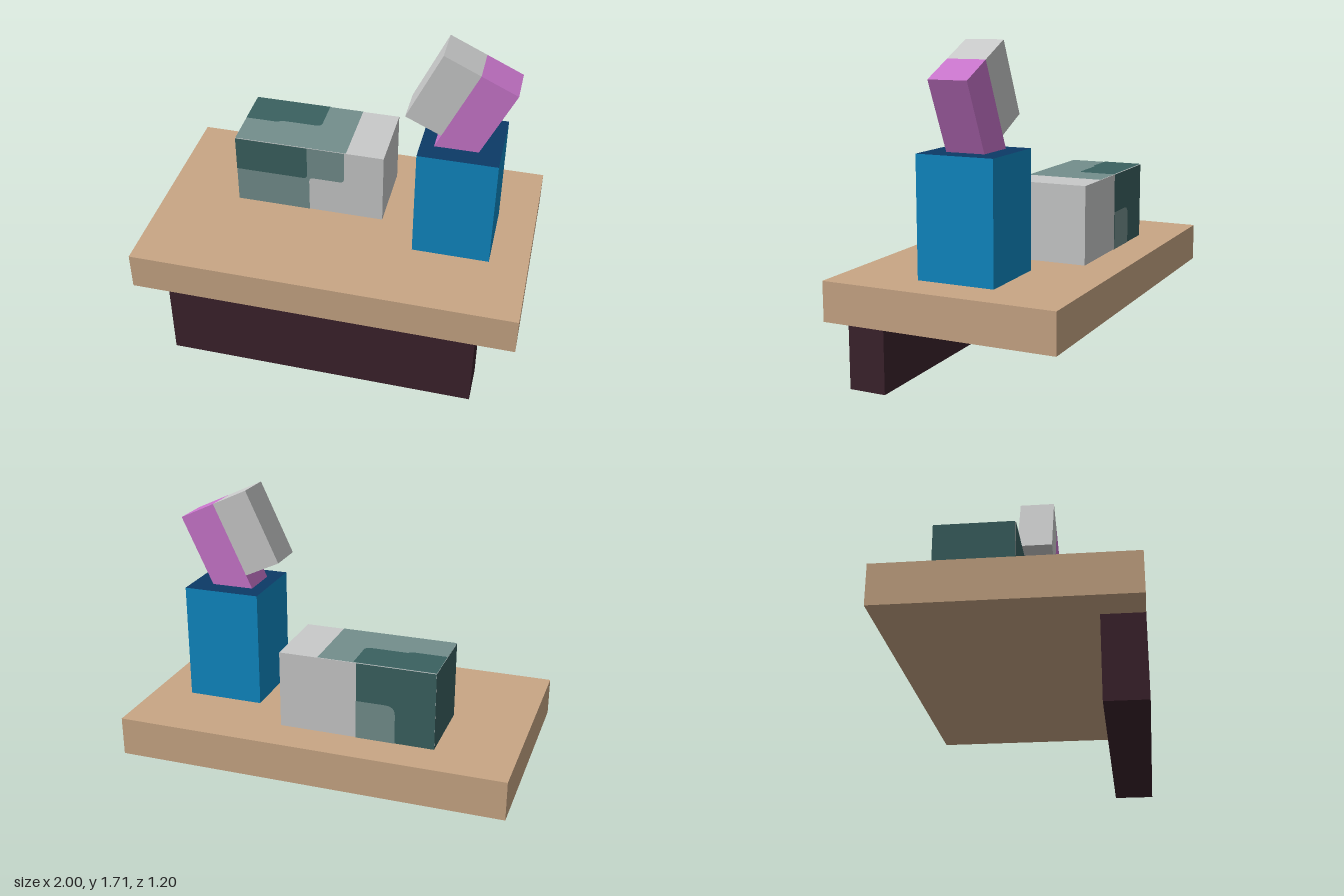
import * as THREE from 'three';

const mat = (name, color) => {
  const m = new THREE.MeshStandardMaterial({ color });
  m.name = name;
  return m;
};

// Flat outline from [x, y, cornerRadius] points; corners with a radius are rounded.
function outline(points) {
  const shape = new THREE.Shape();
  const toward = (a, b, r) => {
    const k = r / Math.hypot(b[0] - a[0], b[1] - a[1]);
    return [a[0] + (b[0] - a[0]) * k, a[1] + (b[1] - a[1]) * k];
  };
  points.forEach((p, i) => {
    const prev = points[(i + points.length - 1) % points.length];
    const next = points[(i + 1) % points.length];
    const r = p[2] || 0;
    if (i === 0) shape.moveTo(p[0], p[1]);
    else if (!r) shape.lineTo(p[0], p[1]);
    else {
      shape.lineTo(...toward(p, prev, r));
      shape.quadraticCurveTo(p[0], p[1], ...toward(p, next, r));
    }
  });
  return shape;
}

export function createModel() {
  const wood = mat('tan wood', 0xc8a685);
  const maroon = mat('dark maroon', 0x3b222c);
  const blue = mat('blue', 0x0f88c2);
  const navy = mat('navy', 0x0c3a66);
  const grey = mat('light grey', 0xc8c9c9);
  const teal = mat('mid teal', 0x738e8c);
  const darkTeal = mat('dark teal', 0x3a6160);
  const pink = mat('orchid pink', 0xc875cb);

  const model = new THREE.Group();
  model.name = 'tableWithBlocks';

  // Box given by its minimum and maximum corners
  const box = (name, min, max, material, parent = model) => {
    const mesh = new THREE.Mesh(
      new THREE.BoxGeometry(max[0] - min[0], max[1] - min[1], max[2] - min[2]), material);
    mesh.name = name;
    mesh.position.set(...min.map((v, i) => (v + max[i]) / 2));
    parent.add(mesh);
  };

  // Table: slab and a single front support
  box('tableTop', [-1, 0.4, -0.6], [1, 0.6, 0.6], wood);
  box('frontSupport', [-0.8, 0, 0.4], [0.8, 0.4, 0.6], maroon);

  // Pedestal with a dark top
  box('pedestal', [0.4, 0.6, -0.2], [0.8, 1.2, 0.2], [blue, blue, navy, blue, blue, blue]);

  // Long block; its end on the -x side is dark
  box('longBlock', [-0.6, 0.6, -0.4], [0.2, 1, 0], [grey, darkTeal, grey, grey, grey, grey]);

  // Painted patches on the block: [x, height] on front and back, [x, z] on top
  const patch = (name, face, layer, material, points) => {
    const flip = { front: [1, 1], back: [-1, 1], top: [1, -1] }[face];
    const geo = new THREE.ShapeGeometry(
      outline(points.map(([u, v, r]) => [u * flip[0], v * flip[1], r])), 6);
    const lift = layer * 0.002;
    if (face === 'front') geo.translate(0, 0, lift);
    if (face === 'back') geo.rotateY(Math.PI).translate(0, 0, -0.4 - lift);
    if (face === 'top') geo.rotateX(-Math.PI / 2).translate(0, 1 + lift, 0);
    const mesh = new THREE.Mesh(geo, material);
    mesh.name = name;
    model.add(mesh);
  };
  patch('frontTealPatch', 'front', 1, teal,
    [[-0.6, 0.6], [-0.2, 0.6], [-0.2, 0.81, 0.025], [-0.01, 0.81, 0.025], [-0.01, 1], [-0.6, 1]]);
  patch('frontDarkPatch', 'front', 2, darkTeal,
    [[-0.6, 0.805], [-0.21, 0.805, 0.025], [-0.21, 1], [-0.6, 1]]);
  patch('topTealPatch', 'top', 1, teal,
    [[-0.6, -0.4], [0, -0.4], [0, 0], [-0.6, 0]]);
  patch('topDarkPatch', 'top', 2, darkTeal,
    [[-0.6, -0.4], [-0.185, -0.4], [-0.185, -0.207, 0.03], [-0.4, -0.207], [-0.43, -0.192], [-0.6, -0.192]]);
  patch('backDarkPatch', 'back', 1, darkTeal,
    [[-0.6, 0.6], [-0.2, 0.6], [-0.2, 1], [-0.6, 1]]);
  patch('backTealPatch', 'back', 2, teal,
    [[-0.4, 0.6], [-0.2, 0.6], [-0.2, 0.8], [-0.4, 0.8, 0.05]]);

  // Tilted two-tone block; the pink half sinks into the pedestal
  const tilted = new THREE.Group();
  tilted.name = 'tiltedBlock';
  tilted.position.set(0.585, 1.449, 0);
  tilted.rotation.z = -THREE.MathUtils.degToRad(25);
  box('tiltedGreyHalf', [-0.2, -0.2, -0.1], [0, 0.2, 0.1], grey, tilted);
  box('tiltedPinkHalf', [0, -0.32, -0.1], [0.2, 0.2, 0.1], pink, tilted);
  model.add(tilted);

  return model;
}
